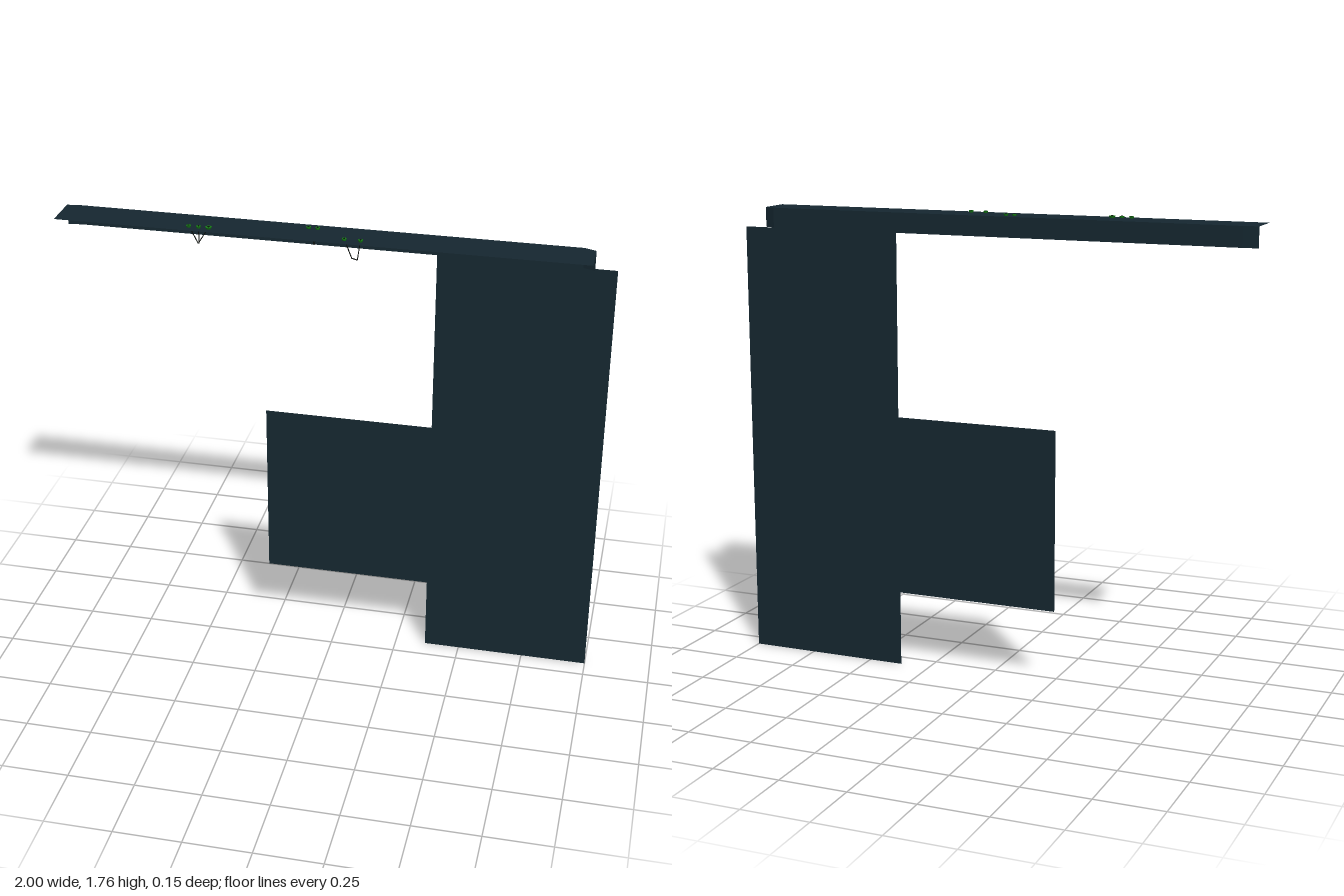
import * as THREE from 'three';

const TOP = 1.75, BOTTOM = 1.675, FRONT = 0.073, BACK = -0.073;
const dark = new THREE.MeshStandardMaterial({ color: 0x152730, side: THREE.DoubleSide });
const green = new THREE.MeshStandardMaterial({ color: 0x147814 });
const black = new THREE.MeshStandardMaterial({ color: 0x0c100c });

function add(parent, name, geometry, material) {
  const mesh = new THREE.Mesh(geometry, material);
  mesh.name = name;
  parent.add(mesh);
  return mesh;
}

// Flat upright sheet between two corners
function sheet(parent, name, x0, y0, x1, y1) {
  const mesh = add(parent, name, new THREE.PlaneGeometry(x1 - x0, y1 - y0), dark);
  mesh.position.set((x0 + x1) / 2, (y0 + y1) / 2, BACK);
}

// Wire hanging below the shelf, with a green bead at each end above it
function hangingWire(parent, name, z, points, beads) {
  const group = new THREE.Group();
  group.name = name;
  points.slice(1).forEach(([x, y], i) => {
    const path = new THREE.LineCurve3(
      new THREE.Vector3(points[i][0], points[i][1], z), new THREE.Vector3(x, y, z));
    add(group, 'wire', new THREE.TubeGeometry(path, 1, 0.0018, 6), black);
  });
  for (const [x, r] of beads) {
    const bead = add(group, 'bead', new THREE.CylinderGeometry(r, r * 0.7, 0.008, 10), green);
    bead.position.set(x, TOP + 0.003, z);
    const tip = add(group, 'wireTip', new THREE.CylinderGeometry(r * 0.4, r * 0.4, 0.003, 8), black);
    tip.position.set(x, TOP + 0.007, z);
  }
  parent.add(group);
}

export function createModel() {
  const model = new THREE.Group();

  // Wall panels
  sheet(model, 'tallPanel', 0.366, 0, 1, BOTTOM);
  sheet(model, 'sidePanel', -0.268, 0.29, 0.366, 0.98);

  // Back edge of the shelf, with its cut corners
  const edge = [[-1, -0.067], [-0.945, BACK], [0.88, BACK], [0.922, -0.056]];

  // Thin shelf top
  const outline = [...edge, [0.922, FRONT], [-1, FRONT]].map(([x, z]) => new THREE.Vector2(x, -z));
  const top = new THREE.ShapeGeometry(new THREE.Shape(outline));
  top.rotateX(-Math.PI / 2);
  add(model, 'shelfTop', top, dark).position.y = TOP;

  // Lip folded down along the back edge
  edge.slice(1).forEach(([x1, z1], i) => {
    const [x0, z0] = edge[i];
    const lip = add(model, 'backLip',
      new THREE.PlaneGeometry(Math.hypot(x1 - x0, z1 - z0), TOP - BOTTOM), dark);
    lip.position.set((x0 + x1) / 2, (TOP + BOTTOM) / 2, (z0 + z1) / 2);
    lip.rotation.y = -Math.atan2(z1 - z0, x1 - x0);
  });

  // Small wires under the shelf
  hangingWire(model, 'leftWire', 0.04,
    [[-0.508, 1.755], [-0.475, 1.69], [-0.435, 1.755]],
    [[-0.508, 0.009], [-0.435, 0.012]]);
  hangingWire(model, 'leftMiddleWire', 0.04,
    [[-0.472, 1.755], [-0.472, 1.69]], [[-0.472, 0.009]]);
  hangingWire(model, 'middleWire', -0.037,
    [[-0.09, 1.755], [-0.07, 1.69], [-0.057, 1.755]],
    [[-0.09, 0.009], [-0.057, 0.009]]);
  hangingWire(model, 'rightWire', 0.04,
    [[0.055, 1.755], [0.082, 1.685], [0.102, 1.68], [0.113, 1.755]],
    [[0.055, 0.009], [0.113, 0.009]]);

  return model;
}
